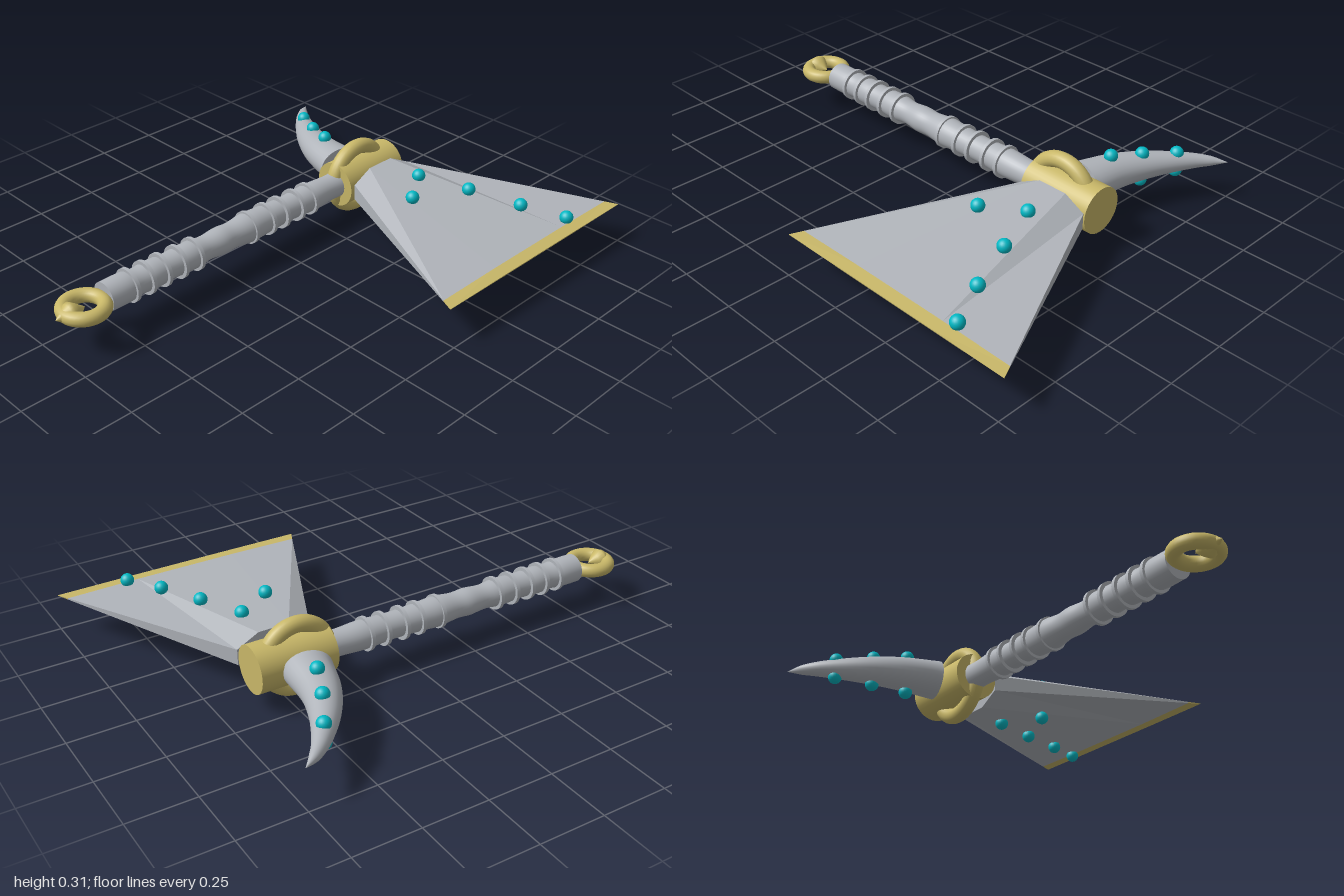
import * as THREE from 'three';

const AX = -0.145, AY = 0.16; // handle axis
const V = (x, y, z) => new THREE.Vector3(x, y, z);
const UP = V(0, 1, 0);

// Elliptical cross-section, perpendicular to the horizontal direction d
function ring(center, d, w, h, n, turn = 0) {
  const side = d.clone().cross(UP).normalize();
  return Array.from({ length: n }, (_, i) => {
    const a = (i / n) * Math.PI * 2 + turn;
    return center.clone().addScaledVector(side, Math.cos(a) * w).addScaledVector(UP, Math.sin(a) * h);
  });
}

// Skin a list of cross-sections and close both ends
function loft(rings, flat) {
  const n = rings[0].length, last = rings.length - 1;
  const points = rings.flat(), index = [];
  for (let r = 0; r < last; r++) {
    for (let i = 0; i < n; i++) {
      const j = (i + 1) % n, a = r * n, b = a + n;
      index.push(a + i, b + i, a + j, a + j, b + i, b + j);
    }
  }
  for (const r of [0, last]) {
    const base = points.length;
    points.push(...rings[r]);
    for (let i = 1; i < n - 1; i++) {
      if (r === 0) index.push(base, base + i, base + i + 1);
      else index.push(base, base + i + 1, base + i);
    }
  }
  let g = new THREE.BufferGeometry().setFromPoints(points);
  g.setIndex(index);
  if (flat) g = g.toNonIndexed();
  g.computeVertexNormals();
  return g;
}

export function createModel() {
  const model = new THREE.Group();
  model.name = 'battleAxe';
  const material = (name, color) => {
    const m = new THREE.MeshStandardMaterial({ color });
    m.name = name;
    return m;
  };
  const steel = material('steel', 0xb0b4ba);
  const gold = material('gold', 0xc8b768);
  const teal = material('turquoise', 0x00b8c4);

  const add = (name, geometry, mat, x = 0, y = 0, z = 0) => {
    const m = new THREE.Mesh(geometry, mat);
    m.name = name;
    m.position.set(x, y, z);
    model.add(m);
    return m;
  };

  // Handle: softly swelling shaft
  const shape = new THREE.SplineCurve([
    [0.052, -0.35], [0.05, -0.28], [0.055, -0.18], [0.05, -0.06], [0.054, 0.06], [0.058, 0.14],
    [0.05, 0.22], [0.053, 0.28], [0.047, 0.35], [0.054, 0.42], [0.05, 0.52], [0.054, 0.6],
    [0.05, 0.66], [0.056, 0.72], [0.056, 0.8],
  ].map(([r, z]) => new THREE.Vector2(r, z)));
  const shaft = new THREE.LatheGeometry(shape.getPoints(60), 32);
  add('handle', shaft.rotateX(Math.PI / 2), steel, AX, AY);
  add('handleEnd', new THREE.CircleGeometry(0.056, 32), steel, AX, AY, 0.8);

  // Raised bands on the handle
  const band = new THREE.CylinderGeometry(0.065, 0.065, 0.014, 32).rotateX(Math.PI / 2);
  for (const z of [-0.17, -0.1, -0.02, 0.05, 0.14, 0.405, 0.48, 0.555, 0.625, 0.695]) {
    add('handleBand', band, steel, AX, AY, z);
  }

  // Pommel ring and its pointed bead
  add('pommelRing', new THREE.TorusGeometry(0.073, 0.027, 16, 40).rotateX(Math.PI / 2), gold, AX, AY, 0.885);
  const beadProfile = [[0, 0.88], [0.028, 0.915], [0.042, 0.936], [0.038, 0.95], [0, 1]];
  const bead = new THREE.LatheGeometry(beadProfile.map(([r, z]) => new THREE.Vector2(r, z)), 24);
  add('pommelBead', bead.rotateX(Math.PI / 2), gold, AX, AY);

  // Head socket with an upright ring through it
  add('headSocket', new THREE.CylinderGeometry(0.09, 0.09, 0.3, 40).rotateX(Math.PI / 2), gold, AX, AY, -0.48);
  add('headRing', new THREE.TorusGeometry(0.124, 0.031, 16, 48).rotateY(Math.PI / 2), gold, AX, AY, -0.45);

  // Blade: faceted wedge fanning out to a thin edge
  const X0 = -0.048, X1 = 0.73, k = 1 / Math.cos(Math.PI / 8);
  const bladeRing = (x) => {
    const t = (x - X0) / (X1 - X0), mix = THREE.MathUtils.lerp;
    return ring(V(x, AY, mix(-0.485, -0.495, t)), V(1, 0, 0),
      mix(0.145, 0.505, t) * k, mix(0.075, 0.002, t) * k, 8, Math.PI / 8);
  };
  add('blade', loft([bladeRing(X0), bladeRing(0.682)], true), steel);
  add('bladeEdge', loft([bladeRing(0.682), bladeRing(X1)], true), gold);

  // Curved back spike
  const path = new THREE.CatmullRomCurve3([
    V(-0.245, AY, -0.462), V(-0.39, AY, -0.495), V(-0.515, AY, -0.552),
    V(-0.645, AY, -0.642), V(-0.7, AY, -0.697), V(-0.735, AY, -0.746),
  ]);
  const size = new THREE.CatmullRomCurve3([
    V(0.09, 0.073, 0), V(0.072, 0.063, 0), V(0.054, 0.05, 0),
    V(0.031, 0.031, 0), V(0.018, 0.019, 0), V(0.001, 0.001, 0),
  ]);
  const spikeRings = [];
  for (let i = 0; i <= 30; i++) {
    const s = size.getPoint(i / 30);
    spikeRings.push(ring(path.getPoint(i / 30), path.getTangent(i / 30), s.x, s.y, 28));
  }
  add('backSpike', loft(spikeRings, false), steel);

  // Studs on both faces: x, z, height from the middle plane
  const stud = new THREE.SphereGeometry(0.026, 20, 14);
  const studs = [
    [0.12, -0.525, 0.07], [0.215, -0.38, 0.068], [0.312, -0.598, 0.057], [0.507, -0.67, 0.039],
    [0.667, -0.743, 0.022], [-0.605, -0.607, 0.036], [-0.482, -0.54, 0.055], [-0.362, -0.49, 0.073],
  ];
  for (const [x, z, h] of studs) {
    for (const s of [1, -1]) add('stud', stud, teal, x, AY + s * h, z);
  }
  return model;
}
